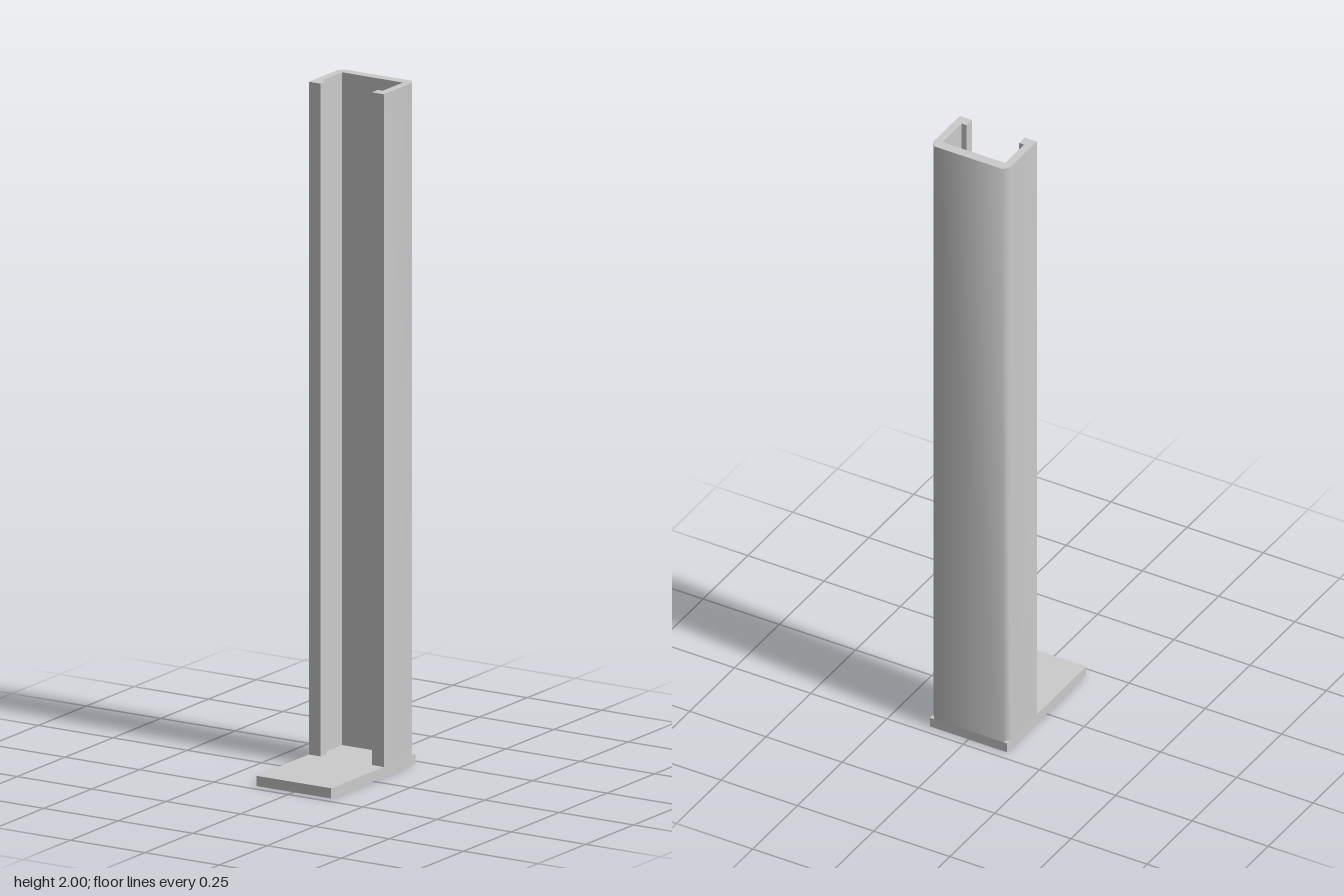
import * as THREE from 'three';
import { toCreasedNormals } from 'three/addons/utils/BufferGeometryUtils.js';

const BASE_HEIGHT = 0.03;
const HEIGHT = 2;

export function createModel() {
  const group = new THREE.Group();
  group.name = 'channelPost';
  const material = new THREE.MeshStandardMaterial({ color: 0xcccccc });

  // Flat foot plate
  const basePlate = new THREE.Mesh(new THREE.BoxGeometry(0.252, BASE_HEIGHT, 0.442), material);
  basePlate.name = 'basePlate';
  basePlate.position.y = BASE_HEIGHT / 2;
  group.add(basePlate);

  // Half of the lipped C section as [x, z], from the back centre round to the inside
  const half = [
    [0.113, -0.221], [0.126, -0.201], [0.126, -0.054], [0.0866, -0.054],
    [0.0866, -0.085], [0.1027, -0.085], [0.1027, -0.191],
  ];
  const mirrored = half.map(([x, z]) => [-x, z]).reverse();
  const section = new THREE.Shape([...half, ...mirrored].map(([x, z]) => new THREE.Vector2(x, -z)));

  // Upright channel, open to the front, with softened back corners
  const extrusion = new THREE.ExtrudeGeometry(section, { depth: HEIGHT - BASE_HEIGHT, bevelEnabled: false });
  extrusion.rotateX(-Math.PI / 2);
  extrusion.translate(0, BASE_HEIGHT, 0);
  const channel = new THREE.Mesh(toCreasedNormals(extrusion, THREE.MathUtils.degToRad(65)), material);
  channel.name = 'uprightChannel';
  group.add(channel);

  return group;
}
